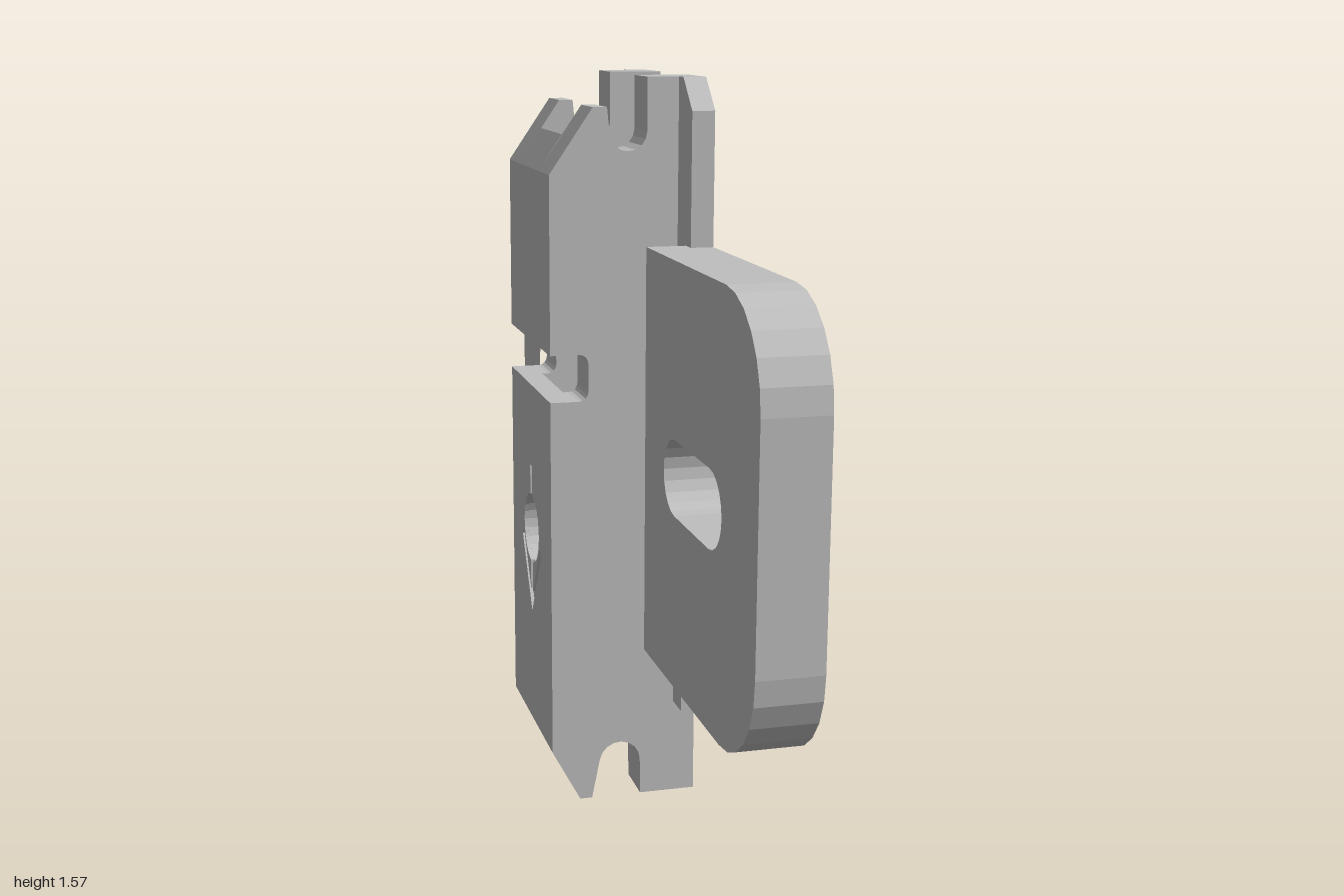
import * as THREE from 'three';

const steel = new THREE.MeshStandardMaterial({ color: 0xbfbfbf });
steel.name = 'light grey steel';

const polygon = (pts) => new THREE.Shape(pts.map(([a, b]) => new THREE.Vector2(a, b)));

// Points along a circular arc, angles in degrees
function arc(cx, cy, r, from, to, n = 8) {
  return Array.from({ length: n + 1 }, (_, i) => {
    const a = THREE.MathUtils.degToRad(from + ((to - from) * i) / n);
    return [cx + r * Math.cos(a), cy + r * Math.sin(a)];
  });
}

// Extrude an (x, y) outline between two z values
function alongZ(name, pts, z0, z1) {
  const g = new THREE.ExtrudeGeometry(polygon(pts), { depth: z1 - z0, bevelEnabled: false });
  g.translate(0, 0, z0);
  const mesh = new THREE.Mesh(g, steel);
  mesh.name = name;
  return mesh;
}

// Extrude a (z, y) outline, with an optional hole, between two x values
function alongX(name, pts, x0, x1, hole, side = 1) {
  const flip = (list) => list.map(([z, y]) => [z * side, y]);
  const shape = polygon(flip(pts));
  if (hole) shape.holes.push(polygon(flip(hole)));
  const g = new THREE.ExtrudeGeometry(shape, { depth: x1 - x0, bevelEnabled: false });
  g.rotateY(-Math.PI / 2);
  g.translate(x1, 0, 0);
  const mesh = new THREE.Mesh(g, steel);
  mesh.name = name;
  return mesh;
}

export function createModel() {
  const model = new THREE.Group();
  model.name = 'mountingPlate';

  const xBack = -0.162, xWeb = -0.112, xFront = 0.16;
  const zIn = 0.105, zOut = 0.207;

  // Channel side wall: notched top, notched foot and a rounded slot in the back edge
  const wall = [
    [xBack, 0.115], [-0.1, 0], [-0.073, 0],
    ...arc(-0.01, 0.08, 0.046, 170, 0),
    [0.037, 0], [xFront, 0], [xFront, 1.57], [0.045, 1.57],
    ...arc(0.005, 1.46, 0.04, 0, -180),
    [-0.04, 1.51], [-0.07, 1.51], [xBack, 1.375], [xBack, 1.0],
    ...arc(-0.1, 0.98, 0.02, 90, 0, 4),
    ...arc(-0.1, 0.92, 0.02, 0, -90, 4),
    [xBack, 0.9],
  ];

  // Wing plate with rounded outer corners and a long screw slot
  const wing = [
    [0.267, 0.36],
    ...arc(0.8, 0.56, 0.2, -90, 0, 6),
    ...arc(0.8, 1.03, 0.2, 0, 90, 6),
    [0.267, 1.23],
  ];
  const screwSlot = [
    ...arc(0.717, 0.797, 0.078, -90, 90, 10),
    ...arc(0.488, 0.797, 0.078, 90, 270, 10),
  ];

  // Thin lip joining wall and wing, with the chamfered upper tab and small lower tab
  const lip = [
    [zOut, 0.21], [0.267, 0.21], [0.267, 1.23],
    [0.303, 1.23], [0.303, 1.505], [0.238, 1.57], [zOut, 1.57],
  ];

  for (const side of [1, -1]) {
    const label = side > 0 ? 'front' : 'rear';
    model.add(
      alongZ(label + 'Wall', wall, side > 0 ? zIn : -zOut, side > 0 ? zOut : -zIn),
      alongX(label + 'Wing', wing, 0.028, xFront, screwSlot, side),
      alongX(label + 'Lip', lip, 0.112, xFront, null, side),
    );
  }

  // Upper web and the bevelled foot of the lower web
  model.add(
    alongZ('upperWeb', [[xBack, 1.0], [xWeb, 1.0], [xWeb, 1.45], [xBack, 1.375]], -zIn, zIn),
    alongZ('webFoot', [[xBack, 0.115], [xWeb, 0.025], [xWeb, 0.115]], -zIn, zIn),
  );

  // Lower web: a drilled inner layer and an outer skin engraved with a down arrow
  const panel = [[-zIn, 0.115], [zIn, 0.115], [zIn, 0.9], [-zIn, 0.9]];
  const drill = arc(0, 0.57, 0.078, 0, 345, 23);
  const half = [
    [0.1, 0.53], [0.085, 0.545], [0.01, 0.425],
    ...arc(0, 0.57, 0.078, -82.6, 82.6, 12),
    [0.01, 0.715],
  ];
  const arrow = [[0, 0.375], ...half, ...half.map(([z, y]) => [-z, y]).reverse()];
  const skin = xBack + 0.008;
  model.add(
    alongX('lowerWeb', panel, skin, xWeb, drill),
    alongX('arrowSkin', panel, xBack, skin, arrow),
  );

  return model;
}
